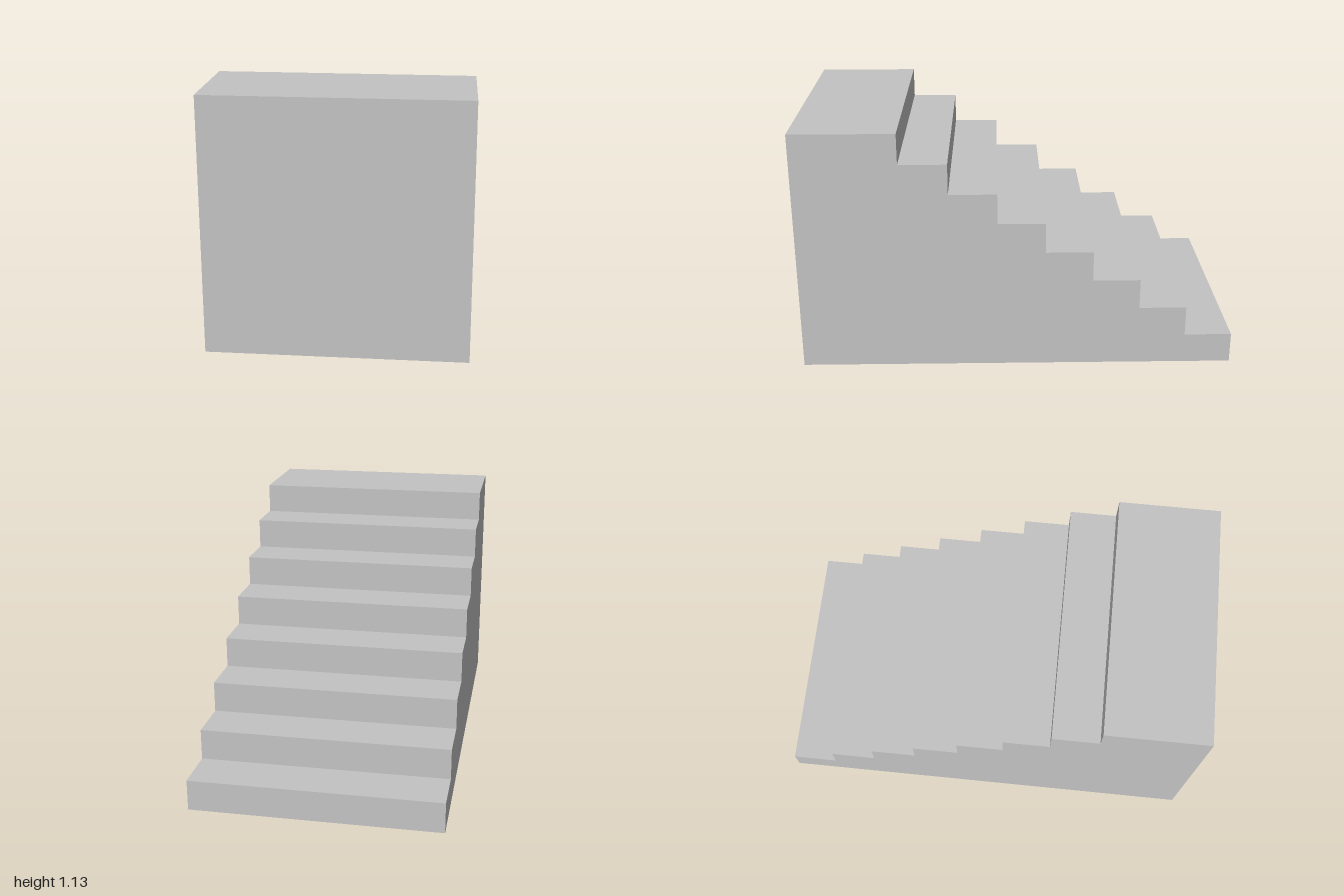
import * as THREE from 'three';

const STEPS = 8;
const WIDTH = 1.132;
const HEIGHT = 1.132;
const TREAD = 0.218;

export function createModel() {
  const group = new THREE.Group();
  group.name = 'staircase';

  const stone = new THREE.MeshStandardMaterial({ color: 0xc3c3c3 });
  stone.name = 'light grey stone';

  // Side profile: x runs from the back (-1) to the front (+1)
  const profile = new THREE.Shape();
  const rise = HEIGHT / STEPS;
  profile.moveTo(1, 0);
  profile.lineTo(1, HEIGHT);
  for (let i = STEPS - 1; i >= 0; i--) {
    const z = -1 + i * TREAD;
    profile.lineTo(z, (i + 1) * rise);
    profile.lineTo(z, i * rise);
  }
  profile.closePath();

  // Solid flight with the landing at the front, extruded across its width
  const geometry = new THREE.ExtrudeGeometry(profile, { depth: WIDTH, bevelEnabled: false });
  geometry.translate(0, 0, -WIDTH / 2);
  geometry.rotateY(-Math.PI / 2);

  const stairs = new THREE.Mesh(geometry, stone);
  stairs.name = 'stairs';
  group.add(stairs);
  return group;
}
